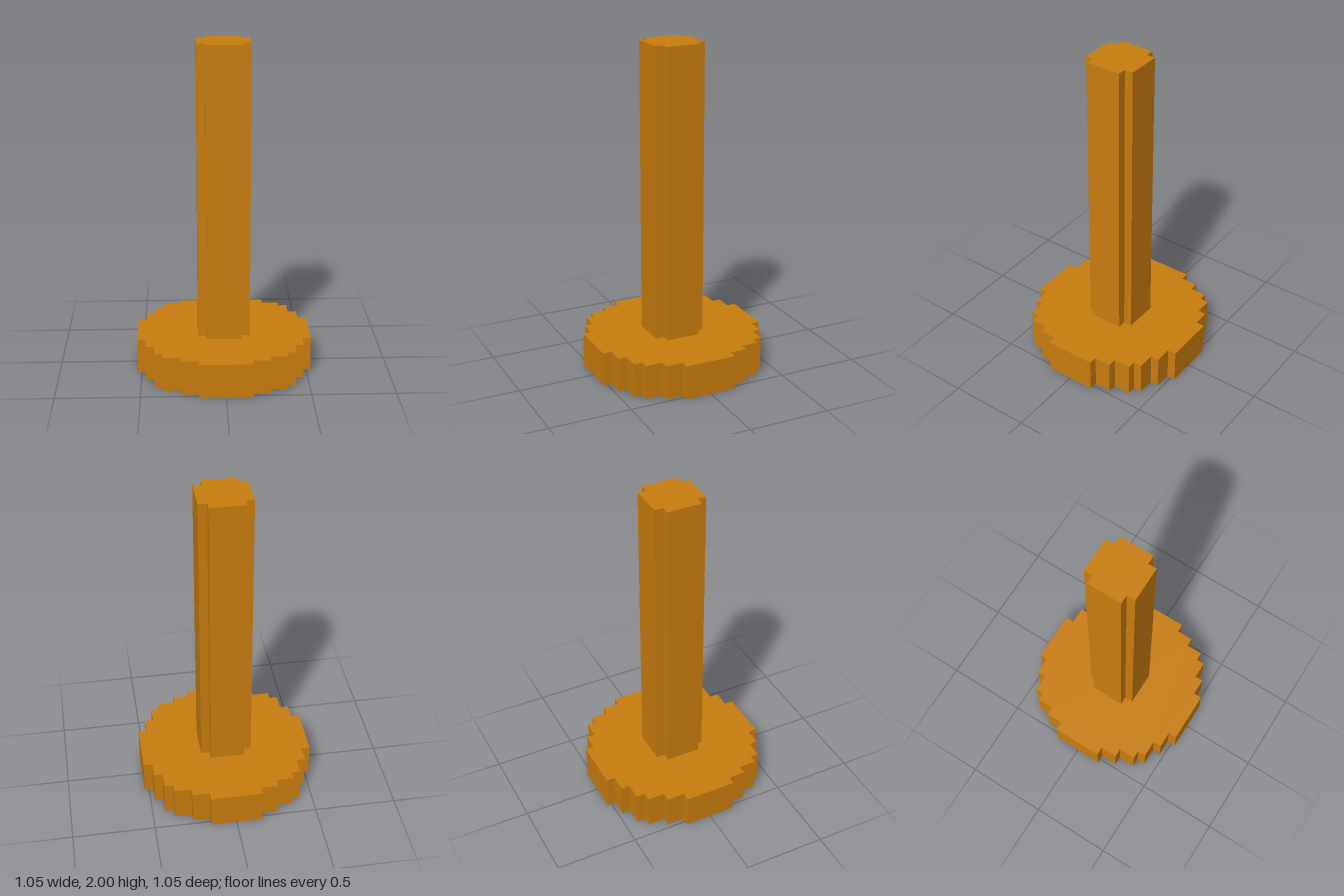
import * as THREE from 'three';

const U = 2 / 38; // size of one block

// Stepped round outline from the convex corners [x, z] of one quadrant, running from +x to +z
function steppedShape(corners) {
  const quadrant = [];
  corners.forEach(([x, z], i) => {
    if (i > 0) quadrant.push([x, corners[i - 1][1]]); // inner corner of the step
    quadrant.push([x, z]);
  });
  const points = [];
  for (let q = 0; q < 4; q++) {
    const angle = q * Math.PI / 2;
    for (const [x, z] of quadrant) {
      points.push(new THREE.Vector2(x * U, z * U).rotateAround(new THREE.Vector2(), angle));
    }
  }
  return new THREE.Shape(points);
}

// Upright prism of the outline, between two heights in blocks
function prism(name, corners, bottom, top, material) {
  const geometry = new THREE.ExtrudeGeometry(steppedShape(corners), {
    depth: (top - bottom) * U, bevelEnabled: false,
  });
  geometry.rotateX(-Math.PI / 2);
  geometry.translate(0, bottom * U, 0);
  const mesh = new THREE.Mesh(geometry, material);
  mesh.name = name;
  return mesh;
}

export function createModel() {
  const group = new THREE.Group();
  group.name = 'steppedPost';
  const amber = new THREE.MeshStandardMaterial({ color: 0xc97d0e });
  amber.name = 'amber';

  // Round foot and tall shaft
  group.add(prism('base', [[10, 3], [9, 5], [8, 7], [7, 8], [5, 9], [3, 10]], 0, 4, amber));
  group.add(prism('shaft', [[3, 2], [2, 3]], 4, 38, amber));
  return group;
}
